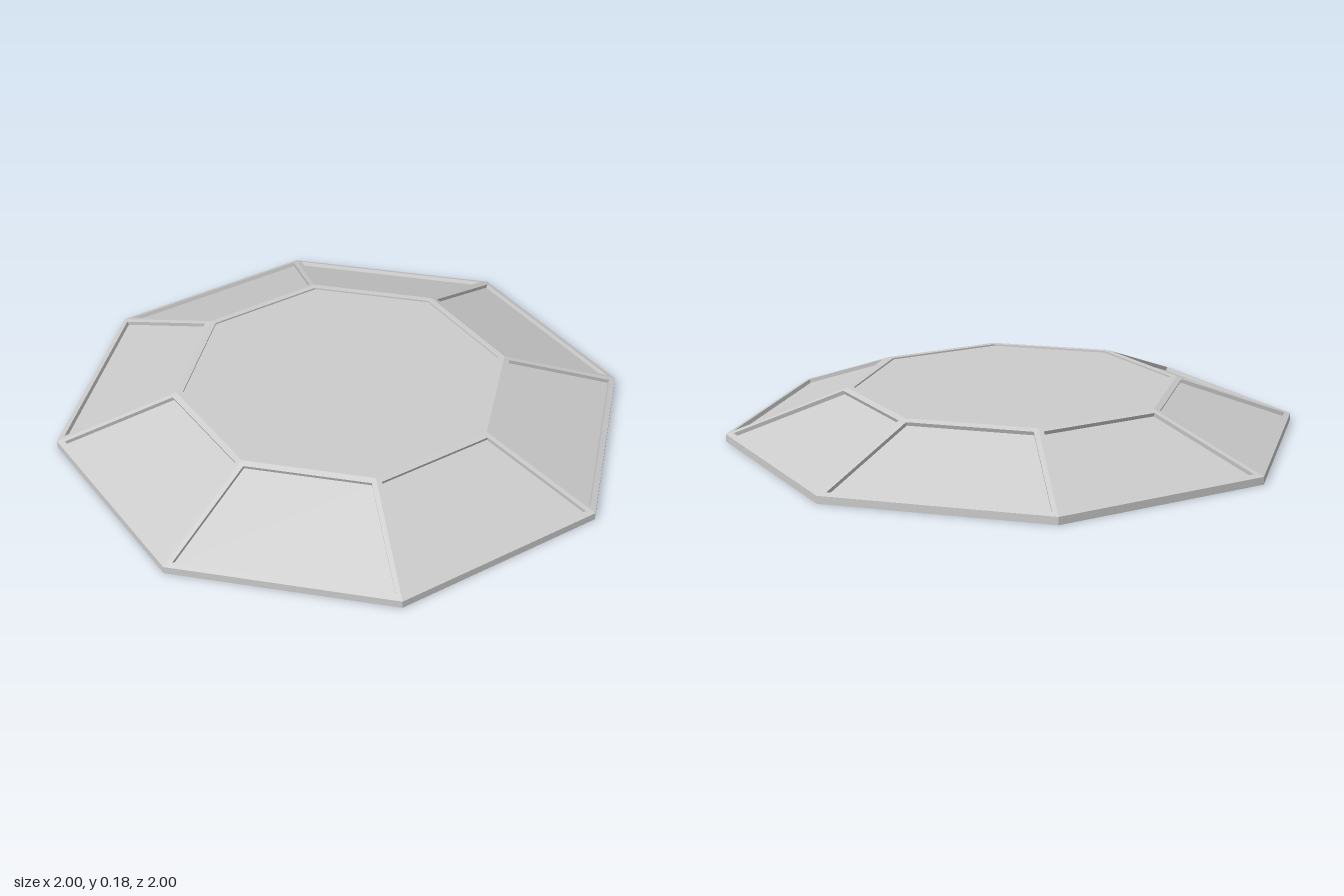
import * as THREE from 'three';

const SIDES = 8;
const STEP = (Math.PI * 2) / SIDES;
const BASE = { r: 1, y: 0.026 };   // top edge of the rim
const TOP = { r: 0.58, y: 0.178 }; // edge of the flat crown
const BAR = 0.016;                 // half width of the sloping bars

// Point at a radius along corner k, shifted sideways by t
function corner(k, r, y, t = 0) {
  const c = Math.cos(k * STEP), s = Math.sin(k * STEP);
  return new THREE.Vector3(r * c - t * s, y, -(r * s + t * c));
}

// Height of the sloping face at radius r, shifted sideways by t
function slopeY(r, t) {
  const a = r + t * Math.tan(STEP / 2);
  return BASE.y + ((BASE.r - a) / (BASE.r - TOP.r)) * (TOP.y - BASE.y);
}

function addQuad(out, a, b, c, d) {
  for (const p of [a, b, c, a, c, d]) out.push(p.x, p.y, p.z);
}

function addPolygon(out, pts) {
  for (let i = 1; i < pts.length - 1; i++)
    for (const p of [pts[0], pts[i], pts[i + 1]]) out.push(p.x, p.y, p.z);
}

// Frame around an opening, the walls of the opening, and the sunken pane
function addPanel(frame, pane, outer, inner, depth) {
  const n = new THREE.Vector3().crossVectors(
    inner[1].clone().sub(inner[0]), inner[2].clone().sub(inner[0])).normalize();
  const sunk = inner.map((p) => p.clone().addScaledVector(n, -depth));
  outer.forEach((p, i) => {
    const j = (i + 1) % outer.length;
    addQuad(frame, p, outer[j], inner[j], inner[i]);
    addQuad(frame, inner[i], inner[j], sunk[j], sunk[i]);
  });
  addPolygon(pane, sunk);
}

function makeMesh(name, positions) {
  const g = new THREE.BufferGeometry();
  g.setAttribute('position', new THREE.Float32BufferAttribute(positions, 3));
  g.computeVertexNormals();
  const m = new THREE.Mesh(g, new THREE.MeshStandardMaterial({ color: 0xcccccc, flatShading: true }));
  m.name = name;
  return m;
}

export function createModel() {
  const group = new THREE.Group();
  group.name = 'octagonalSkylight';
  const ring = (r, y) => Array.from({ length: SIDES }, (_, k) => corner(k, r, y));

  // Low upright rim and flat underside
  const rim = [], underside = [];
  for (let k = 0; k < SIDES; k++)
    addQuad(rim, corner(k, 1, 0), corner(k + 1, 1, 0), corner(k + 1, 1, BASE.y), corner(k, 1, BASE.y));
  addPolygon(underside, ring(1, 0).reverse());
  group.add(makeMesh('rim', rim), makeMesh('underside', underside));

  // Eight sloping sides, each a frame with a sunken pane
  const frame = [];
  const low = 0.973, high = 0.594;
  for (let k = 0; k < SIDES; k++) {
    const pane = [];
    const outer = [
      corner(k, BASE.r, BASE.y), corner(k + 1, BASE.r, BASE.y),
      corner(k + 1, TOP.r, TOP.y), corner(k, TOP.r, TOP.y),
    ];
    const inner = [
      corner(k, low, slopeY(low, BAR), BAR), corner(k + 1, low, slopeY(low, BAR), -BAR),
      corner(k + 1, high, slopeY(high, BAR), -BAR), corner(k, high, slopeY(high, BAR), BAR),
    ];
    addPanel(frame, pane, outer, inner, 0.014);
    group.add(makeMesh('sidePane' + (k + 1), pane));
  }

  // Flat crown with its own shallow pane
  const topPane = [];
  addPanel(frame, topPane, ring(TOP.r, TOP.y), ring(0.557, TOP.y), 0.006);
  group.add(makeMesh('topPane', topPane), makeMesh('frame', frame));
  return group;
}
